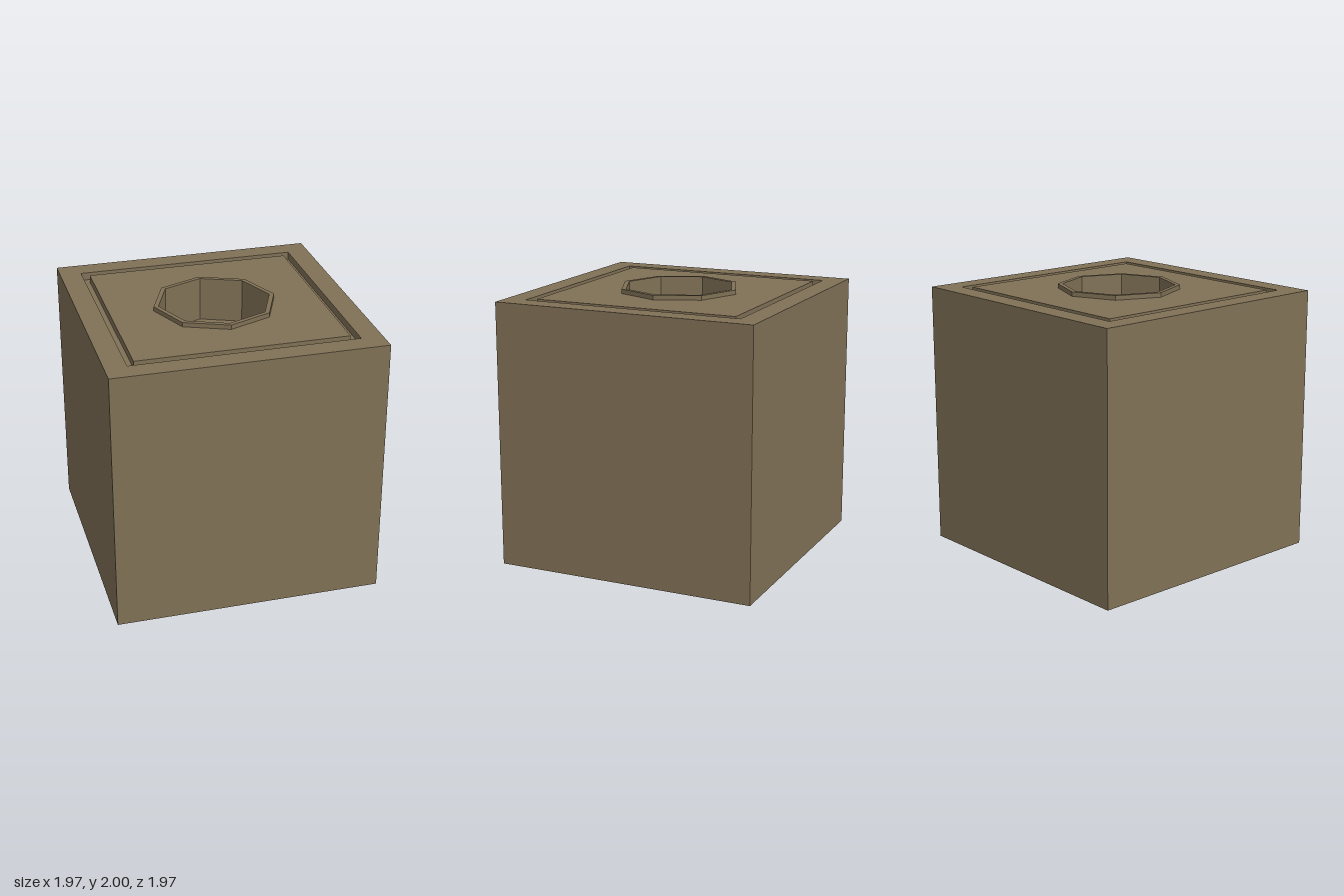
import * as THREE from 'three';

const HALF = 0.983, TOP = 1.967;         // block half width and height
const GROOVE_OUT = 0.825, GROOVE_IN = 0.768, GROOVE_FLOOR = 1.91;
const COLLAR_OUT = 0.451, COLLAR_IN = 0.415, COLLAR_TOP = 2, SOCKET_FLOOR = 1.67;

const material = new THREE.MeshStandardMaterial({ color: 0x807156, flatShading: true });

// Prism-like solid: a [radius, y] profile turned with few sides
function turned(name, profile, sides) {
  const points = profile.map(([r, y]) => new THREE.Vector2(r, y));
  const mesh = new THREE.Mesh(new THREE.LatheGeometry(points, sides), material);
  mesh.name = name;
  return mesh;
}

export function createModel() {
  const group = new THREE.Group();
  group.name = 'blockWithSocket';

  // Square block with the groove sunk into its top
  const body = turned('body', [
    [0, 0], [HALF, 0], [HALF, TOP], [GROOVE_OUT, TOP], [GROOVE_OUT, GROOVE_FLOOR],
    [GROOVE_IN, GROOVE_FLOOR], [GROOVE_IN, TOP],
  ].map(([r, y]) => [r * Math.SQRT2, y]), 4);
  body.geometry.rotateY(Math.PI / 4);
  group.add(body);

  // Top panel inside the groove, open for the collar
  const g = GROOVE_IN;
  const panel = new THREE.Shape([[-g, -g], [g, -g], [g, g], [-g, g]].map((p) => new THREE.Vector2(...p)));
  const opening = [];
  for (let i = 0; i < 8; i++) {
    const a = -i * Math.PI / 4;
    opening.push(new THREE.Vector2(Math.cos(a) * COLLAR_OUT, Math.sin(a) * COLLAR_OUT));
  }
  panel.holes.push(new THREE.Path(opening));
  const topPanel = new THREE.Mesh(new THREE.ShapeGeometry(panel), material);
  topPanel.geometry.rotateX(-Math.PI / 2).translate(0, TOP, 0);
  topPanel.name = 'topPanel';
  group.add(topPanel);

  // Raised octagonal collar with the socket running down inside it
  group.add(turned('collarAndSocket', [
    [COLLAR_OUT, TOP], [COLLAR_OUT, COLLAR_TOP], [COLLAR_IN, COLLAR_TOP],
    [COLLAR_IN, SOCKET_FLOOR], [0, SOCKET_FLOOR],
  ], 8));

  return group;
}
